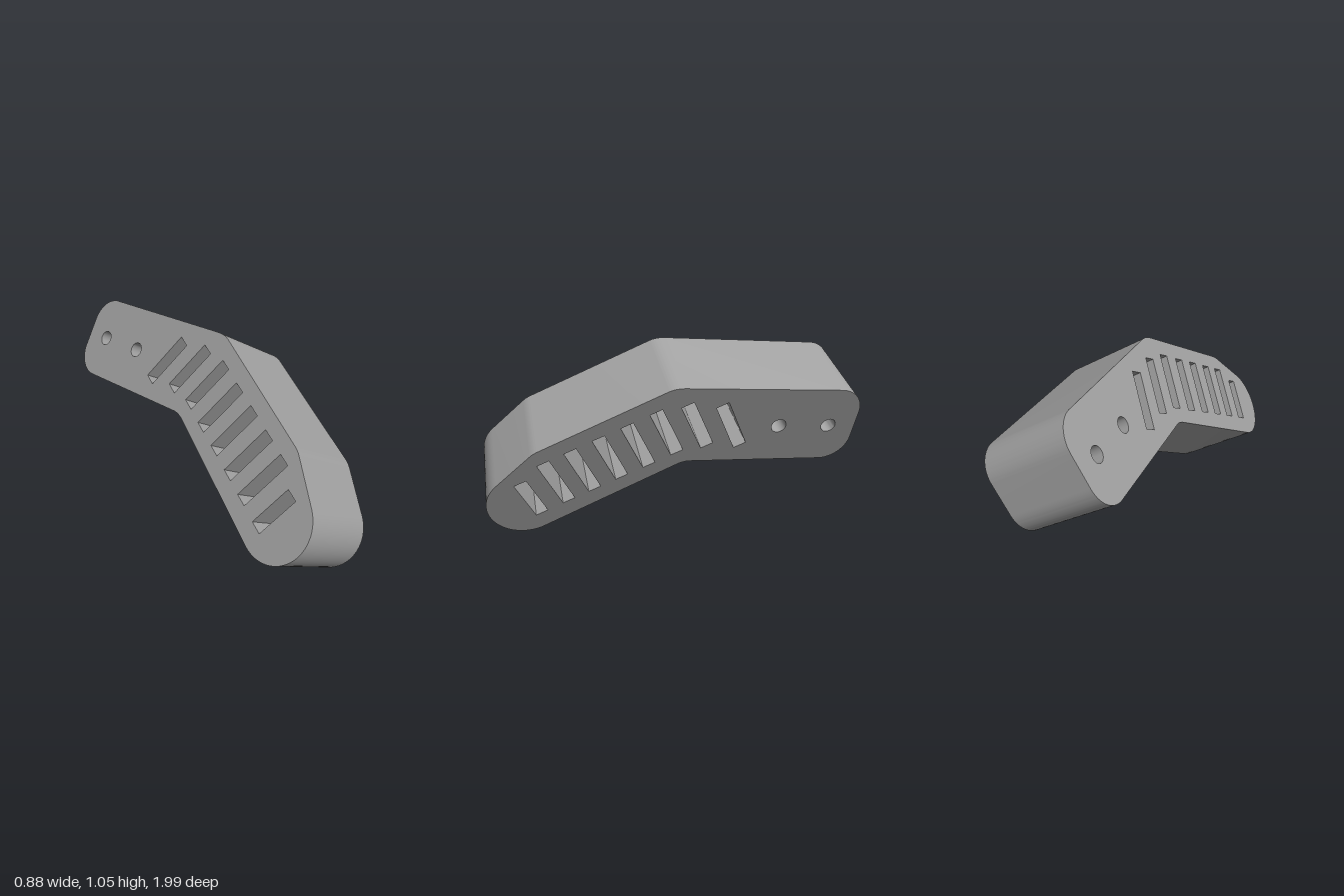
import * as THREE from 'three';
import { toCreasedNormals } from 'three/addons/utils/BufferGeometryUtils.js';

const DEPTH = 0.48;

// Bent bar outline: x runs along the length, y across it
function barOutline() {
  const s = new THREE.Shape();
  const rad = THREE.MathUtils.degToRad;
  s.moveTo(-0.08, 0.449);
  s.quadraticCurveTo(-0.04, 0.45, 0, 0.425); // inner bend
  s.lineTo(0.689, 0.027);
  s.absarc(0.79, 0.205, 0.205, rad(-119.5), rad(41.7), false); // round front end
  s.lineTo(0.775, 0.53);
  s.quadraticCurveTo(0.757, 0.55, 0.735, 0.562);
  s.lineTo(0.10, 0.912);
  s.quadraticCurveTo(0.065, 0.932, 0.01, 0.93); // outer bend
  s.lineTo(-0.85, 0.893);
  s.absarc(-0.85, 0.743, 0.15, rad(90), rad(180), false); // rounded back corners
  s.lineTo(-1, 0.57);
  s.absarc(-0.85, 0.57, 0.15, rad(180), rad(270), false);
  s.closePath();
  return s;
}

// Slanted rectangular slot around a centre
function slot(cx, cy, length) {
  const along = new THREE.Vector2(0.47, 0.883).multiplyScalar(length / 2);
  const across = new THREE.Vector2(-0.883, 0.47).multiplyScalar(0.035);
  const corners = [[1, 1], [-1, 1], [-1, -1], [1, -1]].map(([a, b]) =>
    new THREE.Vector2(cx + a * along.x + b * across.x, cy + a * along.y + b * across.y));
  return new THREE.Path(corners);
}

function roundHole(cx, cy) {
  return new THREE.Path().absarc(cx, cy, 0.042, 0, Math.PI * 2, true);
}

export function createModel() {
  const group = new THREE.Group();
  group.name = 'slottedBentBar';
  const grey = new THREE.MeshStandardMaterial({ color: 0xa0a0a0 });
  grey.name = 'grey';

  const outline = barOutline();
  // Row of slots following the bend, the first one shorter
  [[0.762, 0.241], [0.634, 0.346], [0.499, 0.42], [0.359, 0.497],
    [0.218, 0.572], [0.075, 0.651], [-0.085, 0.69], [-0.273, 0.682]]
    .forEach(([x, y], i) => outline.holes.push(slot(x, y, i === 0 ? 0.25 : 0.308)));
  // Two round holes at the back end
  outline.holes.push(roundHole(-0.545, 0.667), roundHole(-0.84, 0.657));

  const solid = new THREE.ExtrudeGeometry(outline, { depth: DEPTH, bevelEnabled: false, curveSegments: 14 });
  const geometry = toCreasedNormals(solid, 0.45);

  // Lay the length along z and lean the bar by 30 degrees
  const c = Math.cos(Math.PI / 6);
  geometry.applyMatrix4(new THREE.Matrix4().makeBasis(
    new THREE.Vector3(0, 0, 1), new THREE.Vector3(0.5, c, 0), new THREE.Vector3(-c, 0.5, 0)));
  geometry.translate(-0.025, 0, 0);

  const bar = new THREE.Mesh(geometry, grey);
  bar.name = 'slottedBar';
  group.add(bar);
  return group;
}
